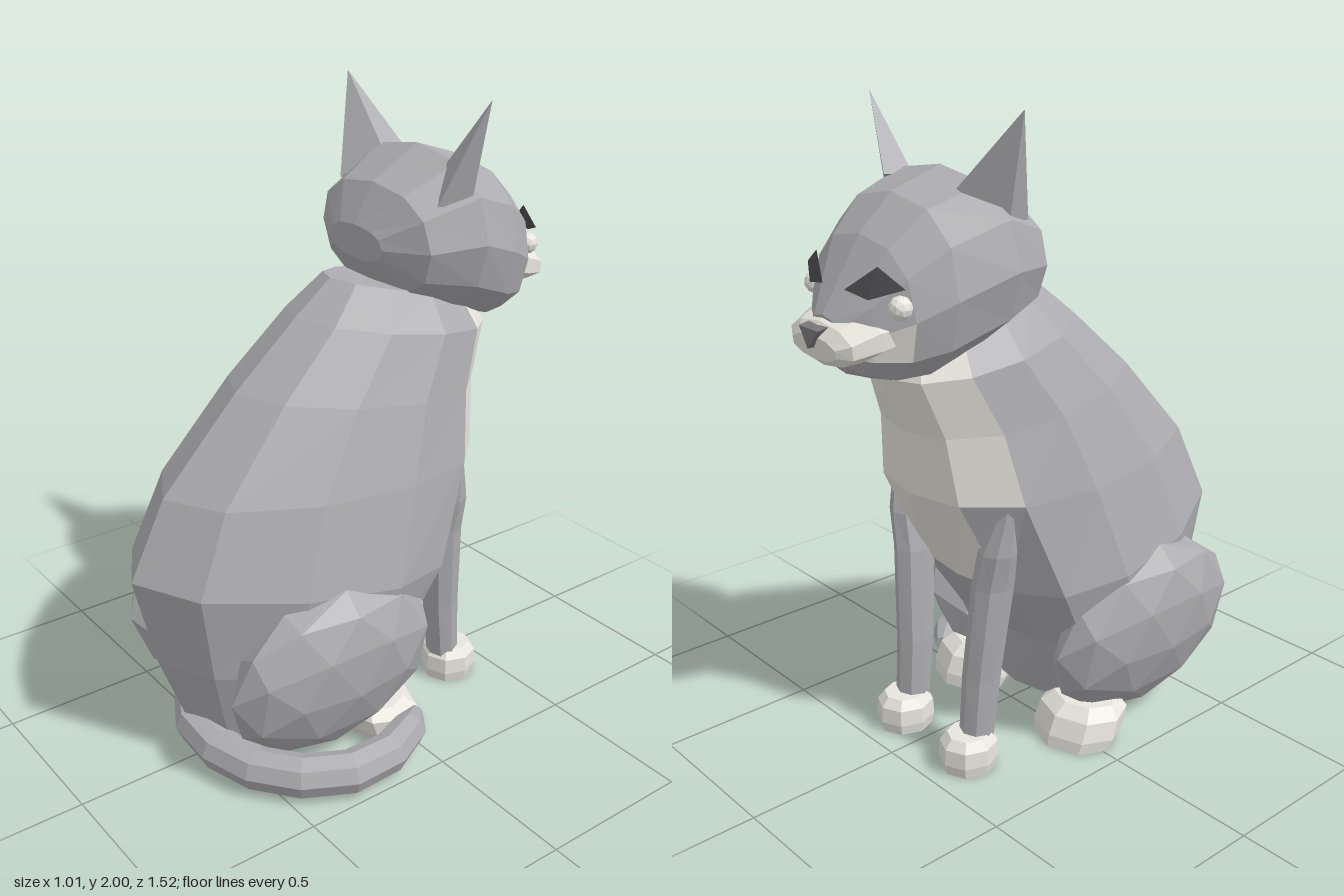
import * as THREE from 'three';
import { ConvexGeometry } from 'three/addons/geometries/ConvexGeometry.js';

const mat = (name, color, extra = {}) => {
  const m = new THREE.MeshStandardMaterial({ color, flatShading: true, ...extra });
  m.name = name;
  return m;
};
const V = (x, y, z) => new THREE.Vector3(x, y, z);
const soft = (t, p) => Math.sign(t) * Math.abs(t) ** p;

// Ring around a centre, spanned by two half-axes; shift moves the widest
// place along -u, power below 1 makes the outline squarer
function ring(c, u, v, n, shift = 0, power = 1) {
  return Array.from({ length: n }, (_, i) => {
    const a = (i / n) * Math.PI * 2, s = Math.sin(a);
    return c.clone().addScaledVector(u, soft(Math.cos(a), power) - shift * s * s)
      .addScaledVector(v, soft(s, power));
  });
}

// Ring given by two opposite points in the middle plane and a half width
const midRing = ([z0, y0, z1, y1, hw, shift], n, power) => ring(
  V(0, (y0 + y1) / 2, (z0 + z1) / 2), V(0, (y0 - y1) / 2, (z0 - z1) / 2), V(hw, 0, 0), n, shift, power);

// Closed flat-faced skin through rings; pick(row, seg) gives the material slot
function loft(rings, pick = () => 0) {
  const n = rings[0].length, buckets = [[], []];
  let volume = 0;
  const tri = (slot, a, b, c) => {
    volume += a.dot(b.clone().cross(c));
    buckets[slot].push([a, b, c]);
  };
  for (let r = 0; r < rings.length - 1; r++) {
    for (let i = 0; i < n; i++) {
      const j = (i + 1) % n, [p, q] = [rings[r], rings[r + 1]], s = pick(r, i);
      tri(s, p[i], p[j], q[j]);
      tri(s, p[i], q[j], q[i]);
    }
  }
  [rings[0], rings[rings.length - 1]].forEach((p, end) => {
    const c = p.reduce((s, v) => s.add(v), V(0, 0, 0)).divideScalar(n);
    for (let i = 0; i < n; i++) {
      const j = (i + 1) % n;
      if (end) tri(0, c, p[i], p[j]); else tri(0, c, p[j], p[i]);
    }
  });
  const points = [], geo = new THREE.BufferGeometry();
  buckets.forEach((list, slot) => {
    geo.addGroup(points.length, list.length * 3, slot);
    list.forEach(([a, b, c]) => points.push(a, ...(volume > 0 ? [b, c] : [c, b])));
  });
  geo.setFromPoints(points);
  geo.computeVertexNormals();
  return geo;
}

export function createModel() {
  const grey = mat('grey fur', 0xadadb1);
  const white = mat('white fur', 0xe8e6de);
  const dark = mat('dark markings', 0x4e4e51, { side: THREE.DoubleSide });
  const nosePaint = mat('nose grey', 0x7a787b);

  const model = new THREE.Group();
  model.name = 'sittingCat';
  const cat = new THREE.Group();
  cat.name = 'cat';
  cat.position.x = -0.045;
  model.add(cat);
  const add = (name, geo, m) => {
    const mesh = new THREE.Mesh(geo, m);
    mesh.name = name;
    cat.add(mesh);
    return mesh;
  };

  // Body: back point, front point, half width and forward shift, with a white bib
  const body = [
    [0.59, 0.09, -0.02, 0.09, 0.28, 0.2], [0.69, 0.36, -0.11, 0.34, 0.37, 0.35],
    [0.76, 0.66, -0.26, 0.56, 0.41, 0.35], [0.64, 0.90, -0.44, 0.88, 0.36, 0.22],
    [0.38, 1.17, -0.46, 1.08, 0.305, 0.15], [0.16, 1.36, -0.52, 1.25, 0.255, 0.1],
    [0.03, 1.46, -0.48, 1.36, 0.17, 0],
  ].map((r) => midRing(r, 12));
  const bib = (row, seg) => {
    const reach = row >= 3 ? 2 : row === 2 ? 1 : 0;
    return seg >= 6 - reach && seg < 6 + reach ? 1 : 0;
  };
  add('body', loft(body, bib), [grey, white]);

  // Head: top point, bottom point and half width of each ring, with white cheeks
  const head = [
    [-0.06, 1.61, -0.07, 1.50, 0.13], [-0.13, 1.73, -0.15, 1.39, 0.265],
    [-0.30, 1.825, -0.30, 1.33, 0.335], [-0.47, 1.77, -0.47, 1.26, 0.285],
    [-0.58, 1.67, -0.56, 1.26, 0.23], [-0.65, 1.56, -0.64, 1.29, 0.15],
    [-0.71, 1.47, -0.69, 1.33, 0.07],
  ].map((r) => midRing(r, 12, 0.87));
  const cheek = (row, seg) => (row >= 4 && (seg === 3 || seg === 8) ? 1 : 0);
  add('head', loft(head, cheek), [grey, white]);

  // Muzzle and nose
  const muzzle = [
    [-0.55, 1.50, -0.55, 1.37, 0.205], [-0.64, 1.495, -0.64, 1.335, 0.18],
    [-0.72, 1.455, -0.71, 1.33, 0.15], [-0.745, 1.42, -0.735, 1.35, 0.105],
  ].map((r) => midRing(r, 10));
  add('muzzle', loft(muzzle), white);
  add('nose', new ConvexGeometry([
    V(-0.045, 1.44, -0.755), V(0.045, 1.44, -0.755), V(0, 1.385, -0.76),
    V(-0.045, 1.45, -0.70), V(0.045, 1.45, -0.70), V(0, 1.385, -0.70),
  ]), nosePaint);

  // Paw: soft block standing on the ground, its top leaning backwards
  const paw = (x, z, rx, rz, h, lean) => loft(
    [[0, 0.92], [0.3, 1], [0.75, 0.97], [1, 0.72]].map(([y, s]) =>
      ring(V(x, y * h, z + lean * y), V(rx * s, 0, 0), V(0, 0, rz * s), 8)));

  [['left', 1], ['right', -1]].forEach(([side, s]) => {
    // Ear: leaning pyramid
    add(side + 'Ear', new ConvexGeometry([
      V(s * 0.335, 2.0, -0.29), V(s * 0.16, 1.785, -0.375), V(s * 0.145, 1.78, -0.285),
      V(s * 0.235, 1.69, -0.185), V(s * 0.27, 1.69, -0.285),
    ]), grey);

    // Pale eye spot below a dark patch
    const eye = add(side + 'EyeSpot', new THREE.IcosahedronGeometry(0.034, 1), white);
    eye.position.set(s * 0.195, 1.505, -0.595);
    const [a, b, c, d] = [
      V(s * 0.05, 1.54, -0.67), V(s * 0.135, 1.525, -0.655),
      V(s * 0.225, 1.56, -0.60), V(s * 0.14, 1.61, -0.625),
    ];
    const patch = new THREE.BufferGeometry().setFromPoints([a, b, d, b, c, d]);
    patch.computeVertexNormals();
    add(side + 'EyePatch', patch, dark);

    // Haunch: low-poly ellipsoid leaning outwards at the top
    const haunch = add(side + 'Haunch', new THREE.IcosahedronGeometry(1, 1), grey);
    haunch.position.set(s * 0.305, 0.335, 0.25);
    haunch.scale.set(0.15, 0.305, 0.37);
    haunch.rotation.z = s * -0.23;

    // Front leg, tapering into the shoulder
    const leg = [
      [0.16, 0.08, -0.325, 0.055, 0.052], [0.165, 0.30, -0.305, 0.058, 0.06],
      [0.19, 0.60, -0.28, 0.06, 0.068], [0.215, 0.72, -0.28, 0.06, 0.06],
      [0.25, 0.86, -0.275, 0.03, 0.025],
    ].map(([x, y, z, rx, rz]) => ring(V(s * x, y, z), V(rx, 0, 0), V(0, 0, rz), 8));
    add(side + 'FrontLeg', loft(leg), grey);
    add(side + 'FrontPaw', paw(s * 0.16, -0.355, 0.09, 0.095, 0.115, 0), white);
    add(side + 'HindPaw', paw(s * 0.255, 0.01, 0.155, 0.13, 0.13, 0.05), white);
  });

  // Tail: curled round one side, rounded off at the tip
  const tailPath = new THREE.CatmullRomCurve3([
    V(-0.15, 0.10, 0.50), V(0.02, 0.085, 0.575), V(0.24, 0.075, 0.56), V(0.41, 0.075, 0.45),
    V(0.49, 0.075, 0.29), V(0.465, 0.075, 0.11), V(0.37, 0.075, -0.03),
  ]);
  const tail = [[0, 0.8], [0.15, 1], [0.28, 1], [0.41, 1], [0.54, 1], [0.67, 1], [0.8, 0.95],
    [0.92, 0.85], [1, 0.4]].map(([t, k]) => {
    const d = tailPath.getPointAt(t), g = tailPath.getTangentAt(t);
    return ring(d, V(g.z, 0, -g.x).setLength(0.067 * k), V(0, 0.066 * k, 0), 8);
  });
  add('tail', loft(tail), grey);

  return model;
}
